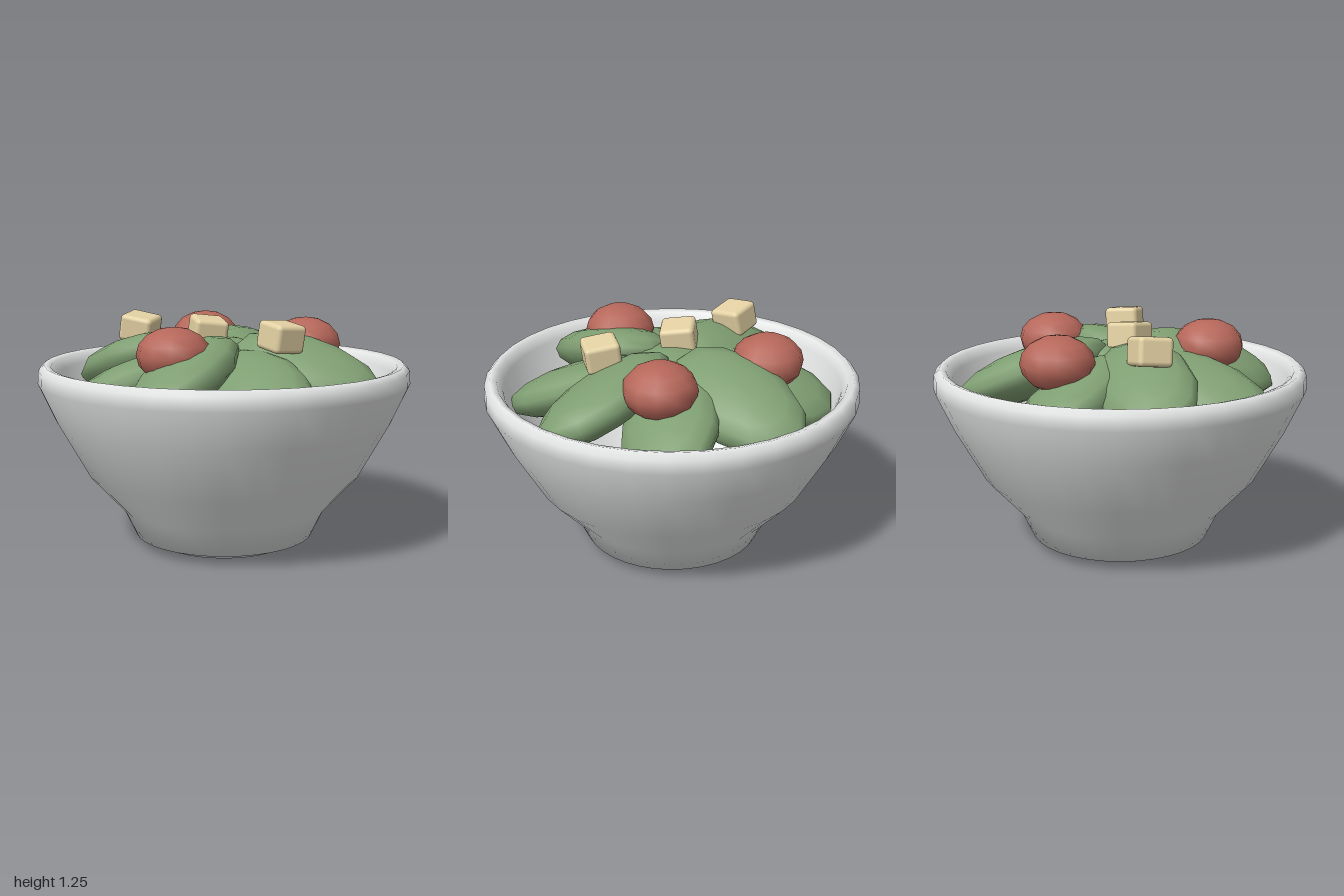
import * as THREE from 'three';
import { RoundedBoxGeometry } from 'three/addons/geometries/RoundedBoxGeometry.js';

function material(name, color) {
  const m = new THREE.MeshStandardMaterial({ color });
  m.name = name;
  return m;
}

function lathe(points) {
  return new THREE.LatheGeometry(points.map(([r, y]) => new THREE.Vector2(r, y)), 36);
}

export function createModel() {
  const model = new THREE.Group();
  model.name = 'saladBowl';
  const ceramic = material('white ceramic', 0xe4e5e5);
  const leafGreen = material('leaf green', 0x7f9e72);
  const tomatoRed = material('tomato red', 0xb6675a);
  const breadTan = material('bread tan', 0xe4d2a4);

  function add(name, geometry, mat, x, y, z, parent = model) {
    const mesh = new THREE.Mesh(geometry, mat);
    mesh.name = name;
    mesh.position.set(x, y, z);
    parent.add(mesh);
    return mesh;
  }

  // Bowl: underside, outer wall, rounded rim, then down the inside
  add('bowl', lathe([
    [0, 0.05], [0.49, 0.05], [0.56, 0.2], [0.75, 0.41], [0.91, 0.7], [1, 0.9],
    [0.995, 0.97], [0.965, 1], [0.93, 0.99], [0.9, 0.94], [0.83, 0.72],
    [0.67, 0.43], [0.48, 0.23], [0.36, 0.15], [0, 0.13],
  ]), ceramic, 0, 0, 0);

  // Foot under the bowl
  add('foot', lathe([[0, 0], [0.37, 0], [0.42, 0.05]]), ceramic, 0, 0, 0);

  // Eight leaves in a ring, sloping outward and rolled to one side; diagonals lie higher
  const leafBall = new THREE.SphereGeometry(1, 12, 8, Math.PI / 12);
  for (let i = 0; i < 8; i++) {
    const spoke = new THREE.Group();
    spoke.name = 'leafSpoke';
    spoke.rotation.y = -i * Math.PI / 4;
    model.add(spoke);
    const leaf = add('leaf', leafBall, leafGreen, 0.475, i % 2 ? 0.975 : 0.9, 0, spoke);
    leaf.scale.set(0.425, 0.135, 0.262);
    leaf.rotation.set(0.32, 0, -0.29, 'ZYX');
  }
  add('centreLeaf', leafBall, leafGreen, 0, 1.02, -0.01).scale.set(0.23, 0.11, 0.23);

  // Tomatoes
  const ball = new THREE.SphereGeometry(1, 12, 8);
  for (const [x, z] of [[0.46, 0.05], [-0.38, 0.3], [0.07, -0.5]]) {
    const tomato = add('tomato', ball, tomatoRed, x, 1.085, z);
    tomato.scale.set(0.192, 0.143, 0.192);
    tomato.rotation.y = x;
  }

  // Croutons
  const cube = new RoundedBoxGeometry(0.185, 0.148, 0.185, 2, 0.025);
  for (const [x, z, turn] of [[0.18, 0.36, 0.26], [-0.08, -0.035, -0.1], [-0.37, -0.34, -0.68]]) {
    add('crouton', cube, breadTan, x, 1.162, z).rotation.set(0.13, turn, -0.1);
  }
  return model;
}
